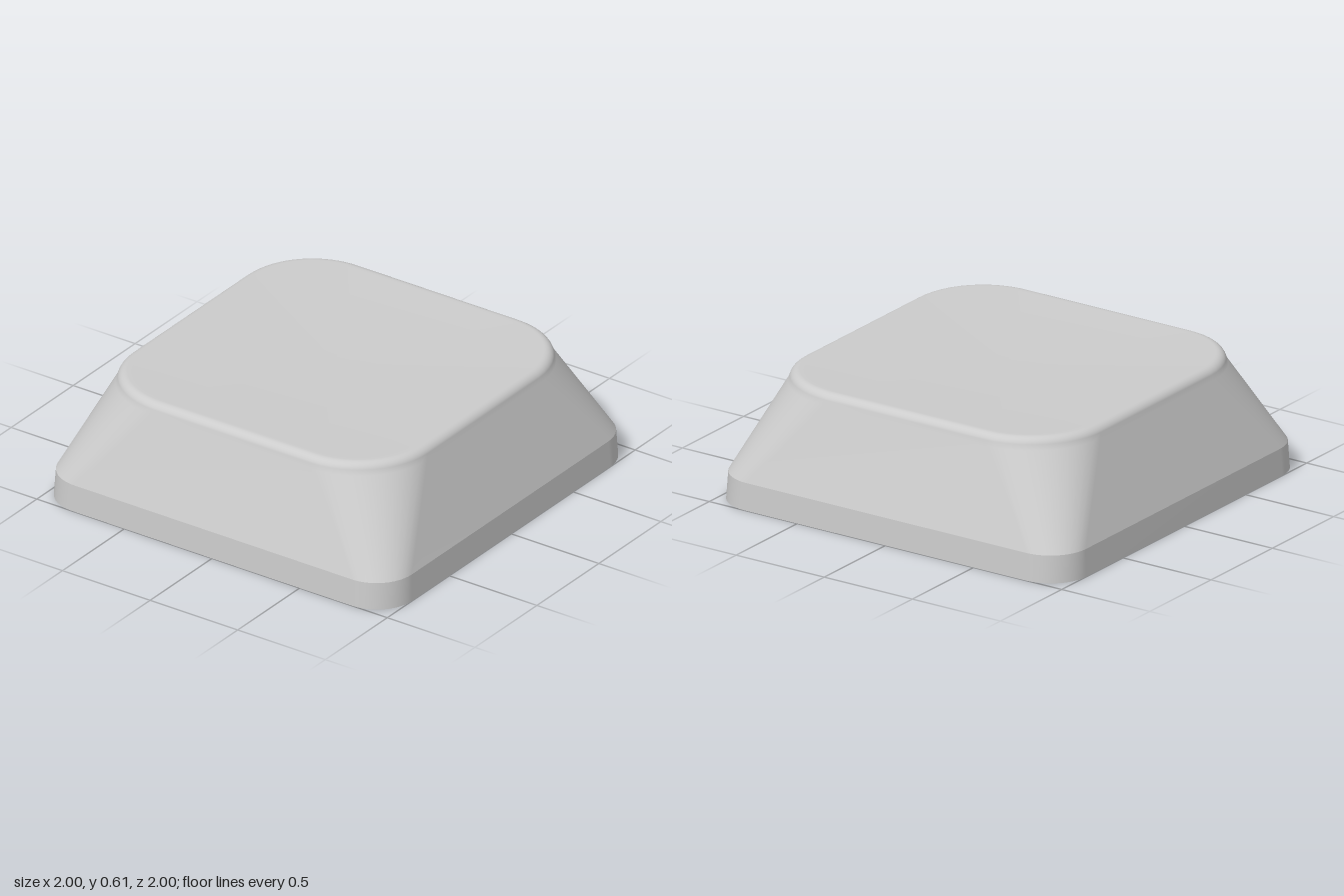
import * as THREE from 'three';

const CORNER_STEPS = 12;
const DISH = 0.02; // curvature of the hollow top
const material = new THREE.MeshStandardMaterial({ color: 0xcccccc, side: THREE.DoubleSide });

// One rounded-square cross-section: half width, corner radius, height, share of dish
function section({ half, radius, y, dish = 0, scale = 1 }) {
  const points = [];
  for (let c = 0; c < 4; c++) {
    const mid = (c + 0.5) * Math.PI / 2;
    const cx = Math.sign(Math.cos(mid)) * (half - radius);
    const cz = Math.sign(Math.sin(mid)) * (half - radius);
    for (let i = 0; i <= CORNER_STEPS; i++) {
      const a = (c + i / CORNER_STEPS) * Math.PI / 2;
      const x = (cx + radius * Math.cos(a)) * scale;
      const z = (cz + radius * Math.sin(a)) * scale;
      points.push([x, y + dish * DISH * (x * x + z * z - 0.62), z]);
    }
  }
  return points;
}

// Joins stacked cross-sections into a smooth surface, optionally closed at the centre
function loft(name, sections, centreY) {
  const n = 4 * (CORNER_STEPS + 1);
  const positions = sections.flatMap((s) => section(s).flat());
  const index = [];
  for (let r = 0; r < sections.length - 1; r++) {
    for (let i = 0; i < n; i++) {
      const a = r * n + i, b = r * n + (i + 1) % n;
      index.push(a, a + n, b, b, a + n, b + n);
    }
  }
  if (centreY !== undefined) {
    const last = (sections.length - 1) * n, centre = sections.length * n;
    positions.push(0, centreY, 0);
    for (let i = 0; i < n; i++) index.push(last + i, centre, last + (i + 1) % n);
  }
  const geometry = new THREE.BufferGeometry();
  geometry.setAttribute('position', new THREE.Float32BufferAttribute(positions, 3));
  geometry.setIndex(index);
  geometry.computeVertexNormals();
  const mesh = new THREE.Mesh(geometry, material);
  mesh.name = name;
  return mesh;
}

export function createModel() {
  const group = new THREE.Group();
  group.name = 'keycapShell';

  // Nearly upright band around the open bottom
  group.add(loft('lowerSkirt', [
    { half: 1, radius: 0.2, y: 0 },
    { half: 0.993, radius: 0.2, y: 0.135 },
  ]));

  // Tapered wall, whose corners grow rounder towards the top
  const sections = [
    { half: 0.993, radius: 0.2, y: 0.135 },
    { half: 0.846, radius: 0.385, y: 0.545, dish: 0.8 },
  ];

  // Rounded rim
  const start = 0.34, r = 0.05;
  for (let i = 0; i <= 6; i++) {
    const a = start + (Math.PI / 2 - start) * i / 6;
    sections.push({
      half: 0.793 + r * Math.cos(a), radius: 0.34 + r * Math.cos(a),
      y: 0.553 + r * Math.sin(a), dish: 1,
    });
  }

  // Shallow dished top, shrinking to the centre
  for (const scale of [0.98, 0.85, 0.7, 0.55, 0.4, 0.25, 0.1]) {
    sections.push({ half: 0.793, radius: 0.34, y: 0.603, dish: 1, scale });
  }
  group.add(loft('taperedBodyAndTop', sections, 0.603 - DISH * 0.62));
  return group;
}
